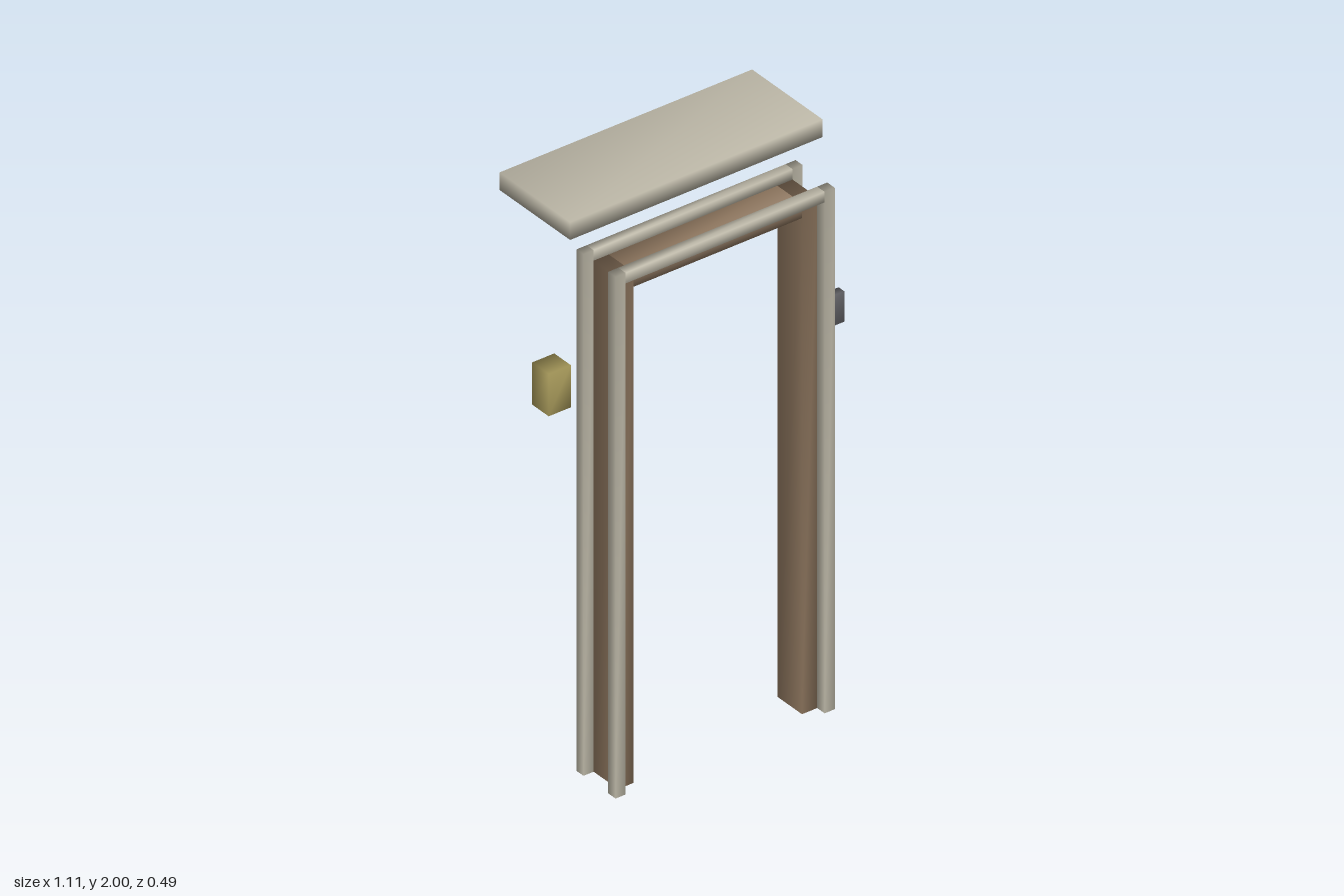
import * as THREE from 'three';
import { mergeVertices } from 'three/addons/utils/BufferGeometryUtils.js';

const mat = (color) => new THREE.MeshStandardMaterial({ color });

// Box given by its extents, with shared corners for smooth normals
function box(name, [x0, x1], [y0, y1], [z0, z1], material) {
  let g = new THREE.BoxGeometry(x1 - x0, y1 - y0, z1 - z0);
  g.deleteAttribute('uv');
  g.deleteAttribute('normal');
  g = mergeVertices(g);
  g.computeVertexNormals();
  const mesh = new THREE.Mesh(g, material);
  mesh.position.set((x0 + x1) / 2, (y0 + y1) / 2, (z0 + z1) / 2);
  mesh.name = name;
  return mesh;
}

export function createModel() {
  const model = new THREE.Group();
  model.name = 'doorway';
  const stone = mat(0xbab5a5), wood = mat(0x8f775f);
  const brass = mat(0xaa9c5c), iron = mat(0x606064);

  // Door frame, set slightly to one side of the centre
  const frame = new THREE.Group();
  frame.name = 'doorFrame';
  frame.position.x = -0.036;
  model.add(frame);

  const inner = 0.317, outer = 0.374, edge = 0.412; // half widths
  const jambTop = 1.815, trimTop = 1.852;
  const depth = [0.086, 0.208];
  const trims = { front: [0.208, 0.245], back: [0.051, 0.086] };

  for (const [side, s] of [['left', 1], ['right', -1]]) {
    const span = (a, b) => (s > 0 ? [a, b] : [-b, -a]);
    frame.add(box(side + 'Jamb', span(inner, outer), [0, jambTop], depth, wood));
    for (const [face, z] of Object.entries(trims))
      frame.add(box(`${side}${face}Trim`, span(outer, edge), [0, trimTop], z, stone));
  }
  frame.add(box('headJamb', [-inner, inner], [1.762, jambTop], depth, wood));
  for (const [face, z] of Object.entries(trims))
    frame.add(box(face + 'HeadTrim', [-outer, outer], [jambTop, trimTop], z, stone));

  // Canopy slab above the frame
  model.add(box('canopy', [-0.512, 0.437], [1.937, 2], [-0.245, 0.104], stone));

  // Wall lamp and sign plate beside the frame
  model.add(box('wallLamp', [-0.553, -0.47], [1.3, 1.45], [-0.03, 0.052], brass));
  model.add(box('signPlate', [0.376, 0.553], [1.214, 1.322], [0.031, 0.059], iron));
  return model;
}
